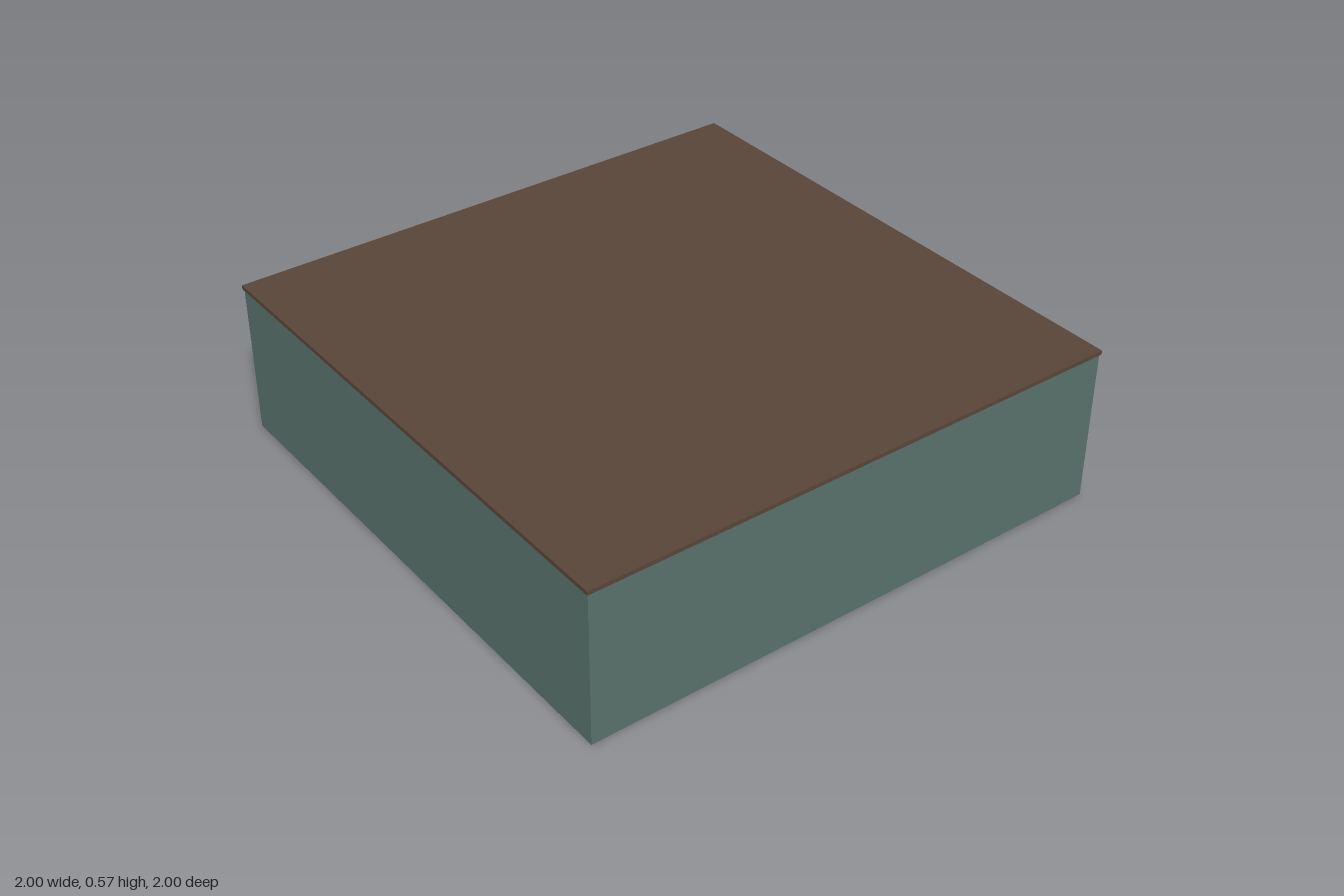
import * as THREE from 'three';

const mat = (name, color) => Object.assign(new THREE.MeshStandardMaterial({ color }), { name });

export function createModel() {
  const teal = mat('wall teal', 0x58716b);
  const roofBrown = mat('roof brown', 0x594538);
  const trim = mat('trim wood', 0x6b4a36);
  const slate = mat('dark slate', 0x2f3c40);
  const tan = mat('warm glass', 0xa88c58);
  const navy = mat('plinth blue', 0x26323c);

  const room = new THREE.Group();
  room.name = 'room';

  const box = (parent, name, material, w, h, d, x, y, z) => {
    const mesh = new THREE.Mesh(new THREE.BoxGeometry(w, h, d), material);
    mesh.name = name;
    mesh.position.set(x, y, z);
    parent.add(mesh);
    return mesh;
  };

  // Roof slab
  box(room, 'roof', roofBrown, 2, 0.015, 2, 0, 0.5625, 0);

  // Tall narrow side light: slate frame, wooden strips, lit centre
  const sideLight = (wall, x) => {
    const g = new THREE.Group();
    g.name = 'sideLight';
    g.position.set(x, 0.28, 0);
    box(g, 'sideLightFrame', slate, 0.14, 0.33, 0.012, 0, 0, 0.006);
    for (const s of [-1, 1]) {
      box(g, 'sideLightStile', trim, 0.02, 0.29, 0.012, s * 0.032, 0, 0.012);
      box(g, 'sideLightCap', slate, 0.15, 0.02, 0.022, 0, s * 0.16, 0.011);
    }
    box(g, 'sideLightGlass', tan, 0.026, 0.28, 0.008, 0, 0, 0.012);
    wall.add(g);
  };

  // Wide window: four by two panes
  const wideWindow = (wall) => {
    const g = new THREE.Group();
    g.name = 'window';
    g.position.set(0, 0.305, 0);
    box(g, 'windowGlass', tan, 0.46, 0.26, 0.006, 0, 0, 0.004);
    for (const s of [-1, 1]) {
      box(g, 'windowJamb', trim, 0.03, 0.3, 0.024, s * 0.235, 0, 0.012);
      box(g, 'windowRail', trim, 0.53, 0.026, 0.03, 0, s * 0.14, 0.015);
    }
    for (const x of [-0.11, 0, 0.11]) box(g, 'windowMullion', trim, 0.014, 0.26, 0.014, x, 0, 0.008);
    box(g, 'windowCrossbar', trim, 0.46, 0.014, 0.014, 0, 0, 0.008);
    wall.add(g);
  };

  // Four walls, each built facing the middle of the room
  for (let i = 0; i < 4; i++) {
    const angle = (i * Math.PI) / 2;
    const wall = new THREE.Group();
    wall.name = ['backWall', 'rightWall', 'frontWall', 'leftWall'][i];
    wall.rotation.y = angle;
    wall.position.set(-Math.sin(angle) * 0.98, 0, -Math.cos(angle) * 0.98);
    box(wall, 'wallPanel', teal, 1.99, 0.555, 0.015, 0, 0.2775, -0.0075);
    // Skirting and rail along the floor
    box(wall, 'skirting', slate, 1.96, 0.03, 0.022, 0, 0.015, 0.011);
    box(wall, 'skirtingBand', teal, 1.96, 0.025, 0.012, 0, 0.0425, 0.006);
    box(wall, 'lowerRail', trim, 1.96, 0.03, 0.02, 0, 0.075, 0.01);
    // Crown moulding with small blocks
    box(wall, 'crown', trim, 1.96, 0.025, 0.03, 0, 0.5, 0.015);
    box(wall, 'crownTop', roofBrown, 1.96, 0.035, 0.045, 0, 0.5375, 0.0225);
    for (let k = 0; k < 40; k++) box(wall, 'crownBlock', trim, 0.022, 0.014, 0.04, -0.936 + k * 0.048, 0.517, 0.02);
    for (const s of [-1, 1]) sideLight(wall, s * 0.81);
    if (i % 2) wideWindow(wall);
    room.add(wall);
  }

  // Ceiling beams
  for (const p of [-0.6, -0.2, 0.2, 0.6]) {
    box(room, 'ceilingBeam', roofBrown, 0.03, 0.03, 1.95, p, 0.541, 0);
    box(room, 'crossBeam', roofBrown, 1.95, 0.022, 0.03, 0, 0.545, p);
  }

  // Round ceiling fixtures
  for (const x of [-0.28, 0.28]) {
    const rose = new THREE.Mesh(new THREE.CylinderGeometry(0.03, 0.022, 0.025, 12), trim);
    rose.name = 'ceilingFixture';
    rose.position.set(x, 0.545, 0.05);
    room.add(rose);
  }

  // Solid counter with an overhanging top
  const counter = new THREE.Group();
  counter.name = 'counter';
  counter.position.set(0.26, 0, -0.14);
  box(counter, 'counterPlinth', navy, 0.2, 0.02, 0.22, 0, 0.01, 0);
  box(counter, 'counterBody', trim, 0.18, 0.1, 0.2, 0, 0.07, 0);
  box(counter, 'counterTrim', tan, 0.19, 0.012, 0.21, 0, 0.114, 0);
  box(counter, 'counterTop', teal, 0.21, 0.02, 0.23, 0, 0.13, 0);
  room.add(counter);

  // Open table on four posts
  const table = new THREE.Group();
  table.name = 'table';
  table.position.set(-0.24, 0, 0.02);
  box(table, 'tableBase', slate, 0.2, 0.02, 0.23, 0, 0.01, 0);
  for (const sx of [-1, 1]) for (const sz of [-1, 1])
    box(table, 'tablePost', trim, 0.014, 0.09, 0.014, sx * 0.08, 0.065, sz * 0.095);
  box(table, 'tableTop', tan, 0.2, 0.025, 0.23, 0, 0.1225, 0);
  room.add(table);

  return room;
}
